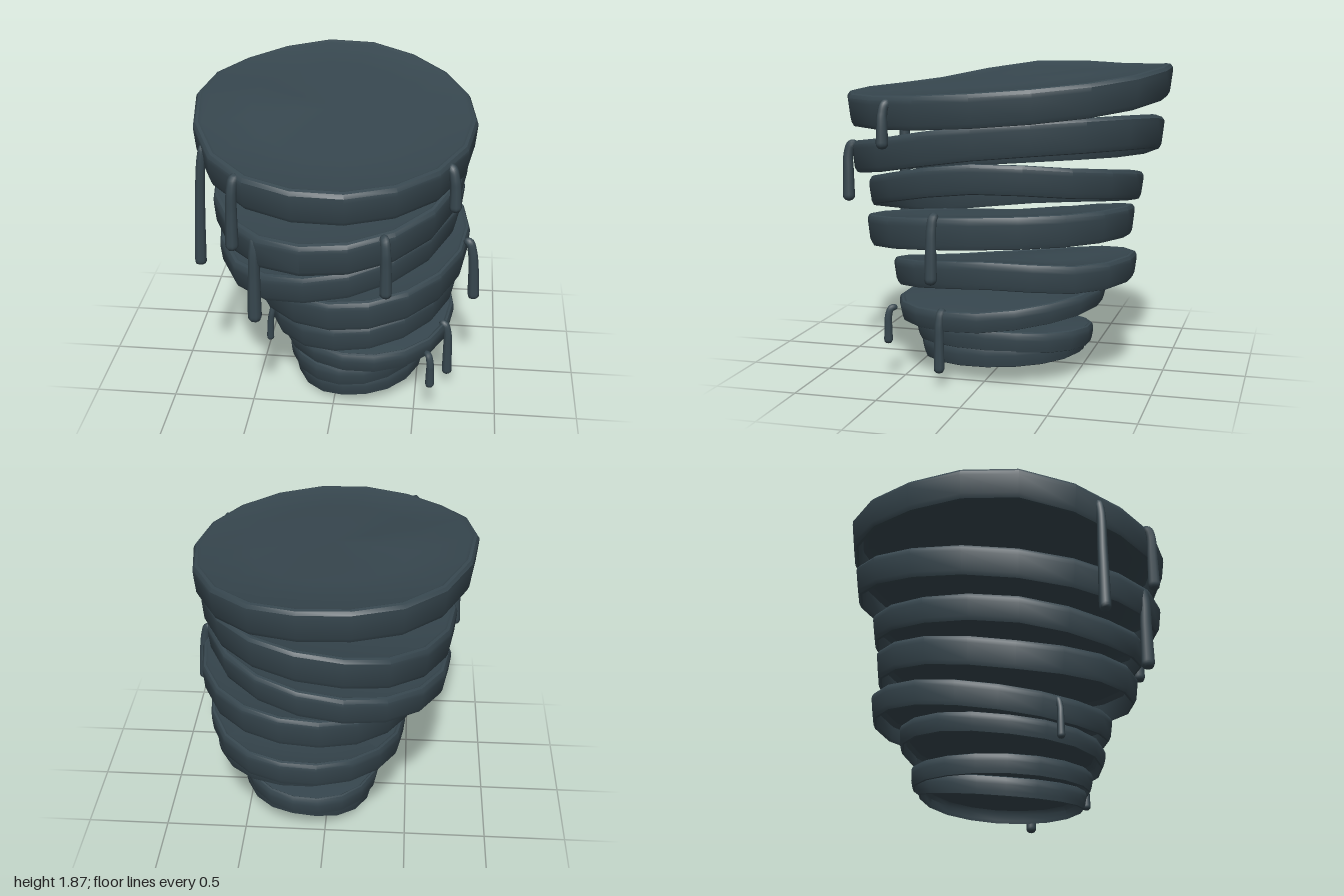
import * as THREE from 'three';
import { mergeVertices, toCreasedNormals } from 'three/addons/utils/BufferGeometryUtils.js';

const slate = new THREE.MeshStandardMaterial({ color: 0x37474f });
slate.name = 'slate';

// Oval cap with a rounded lip, hollow below; its rim follows
// eight heights listed from the front round to the right (+x), back and left
function slab({ c, r, t, rim }) {
  const profile = [
    [0, -0.03], [0.4, -0.03], [0.75, -0.03], [0.9, -0.04], [0.935, -0.065], [0.945, -t + 0.02],
    [0.955, -t], [0.97, -t + 0.004], [0.985, -t + 0.03],
    [1, -0.05], [1, -0.025], [0.985, -0.005], [0.965, 0], [0.945, -0.008], [0.6, 0], [0.3, 0], [0, 0],
  ].map(([x, h]) => new THREE.Vector2(x, h));
  const wave = new THREE.CatmullRomCurve3(
    rim.map((h) => new THREE.Vector3(0, h, 0)), true, 'catmullrom', 0.5);
  const mean = rim.reduce((a, b) => a + b) / rim.length;
  let geo = new THREE.LatheGeometry(profile, 18, Math.PI / 18);
  const p = geo.attributes.position;
  for (let i = 0; i < p.count; i++) {
    const x = p.getX(i), z = p.getZ(i);
    const turn = (Math.atan2(x, z) / (2 * Math.PI) + 1) % 1;
    const height = mean + (wave.getPoint(turn).y - mean) * Math.hypot(x, z);
    p.setXYZ(i, c[0] + x * r[0], p.getY(i) + height, c[1] + z * r[1] * 1.012);
  }
  geo.deleteAttribute('uv');
  geo.deleteAttribute('normal');
  geo = toCreasedNormals(mergeVertices(geo), 0.6);
  return new THREE.Mesh(geo, slate);
}

// Drip that hooks over a rim and hangs down, swelling towards a round tip
function drip([x, z], top, bottom, [dx, dz], sway, radius) {
  const path = new THREE.CatmullRomCurve3([
    new THREE.Vector3(x - dx * 0.06, top - 0.025, z - dz * 0.06),
    new THREE.Vector3(x - dx * 0.02, top - 0.03, z - dz * 0.02),
    new THREE.Vector3(x, top - 0.09, z),
    new THREE.Vector3(x + sway * 0.6, (top + bottom) / 2, z),
    new THREE.Vector3(x + sway, bottom, z),
  ]);
  const rings = 48, sides = 8;
  const geo = new THREE.TubeGeometry(path, rings, radius, sides);
  const p = geo.attributes.position, v = new THREE.Vector3();
  const length = path.getLength();
  for (let i = 0; i <= rings; i++) {
    const u = i / rings, mid = path.getPointAt(u);
    const edge = Math.min(1, Math.min(u, 1 - u) * length / radius);
    const size = (0.7 + 0.3 * u) * Math.sqrt(1 - (1 - edge) ** 2);
    for (let j = 0; j <= sides; j++) {
      const k = i * (sides + 1) + j;
      v.fromBufferAttribute(p, k).sub(mid).multiplyScalar(size).add(mid);
      p.setXYZ(k, v.x, v.y, v.z);
    }
  }
  geo.deleteAttribute('uv');
  geo.deleteAttribute('normal');
  const smooth = mergeVertices(geo);
  smooth.computeVertexNormals();
  return new THREE.Mesh(smooth, slate);
}

export function createModel() {
  const model = new THREE.Group();
  model.name = 'slabStack';

  // Slabs from top to bottom: centre (x, z), radii, thickness, rim heights
  const slabs = [
    { c: [-0.03, 0], r: [0.84, 1], t: 0.2, rim: [1.695, 1.695, 1.74, 1.805, 1.875, 1.85, 1.85, 1.725] },
    { c: [0, 0.005], r: [0.77, 0.965], t: 0.2, rim: [1.365, 1.44, 1.56, 1.605, 1.58, 1.45, 1.36, 1.325] },
    { c: [0, 0.01], r: [0.75, 0.85], t: 0.175, rim: [1.12, 1.24, 1.345, 1.31, 1.24, 1.13, 1.055, 1.015] },
    { c: [0.125, 0.01], r: [0.67, 0.82], t: 0.19, rim: [0.93, 0.99, 1.045, 1.06, 1.05, 0.97, 0.875, 0.885] },
    { c: [0.13, -0.085], r: [0.61, 0.745], t: 0.165, rim: [0.66, 0.73, 0.785, 0.755, 0.76, 0.705, 0.62, 0.595] },
    { c: [0.165, -0.015], r: [0.555, 0.635], t: 0.125, rim: [0.445, 0.45, 0.475, 0.535, 0.57, 0.53, 0.47, 0.45] },
    { c: [0.115, -0.02], r: [0.445, 0.55], t: 0.125, rim: [0.285, 0.32, 0.33, 0.31, 0.295, 0.265, 0.25, 0.255] },
    { c: [0.13, -0.02], r: [0.42, 0.51], t: 0.12, rim: [0.18, 0.2, 0.22, 0.24, 0.25, 0.17, 0.12, 0.13] },
  ];
  slabs.forEach((s, i) => {
    const mesh = slab(s);
    mesh.name = `slab${i + 1}`;
    model.add(mesh);
  });

  // Drips: rim point (x, z), top, bottom, outward direction, sideways sway, radius
  const drips = [
    [[-0.745, 0.5], 1.74, 0.95, [-0.8, 0.6], -0.04, 0.037],
    [[-0.51, 0.85], 1.71, 1.25, [-0.5, 0.85], -0.01, 0.038],
    [[0.69, 0.55], 1.69, 1.4, [0.8, 0.6], 0.01, 0.038],
    [[0.335, 0.91], 1.41, 1.03, [0.35, 0.93], 0.005, 0.038],
    [[-0.405, 0.81], 1.33, 0.77, [-0.4, 0.9], -0.01, 0.042],
    [[0.815, 0.22], 1.065, 0.65, [0.95, 0.25], 0.02, 0.038],
    [[-0.405, 0.28], 0.6, 0.31, [-0.8, 0.6], -0.015, 0.024],
    [[0.595, 0.57], 0.465, 0.22, [0.6, 0.8], 0, 0.028],
    [[0.69, 0.22], 0.48, 0.09, [0.95, 0.25], 0.005, 0.033],
  ];
  drips.forEach((d, i) => {
    const mesh = drip(...d);
    mesh.name = `drip${i + 1}`;
    model.add(mesh);
  });
  return model;
}
